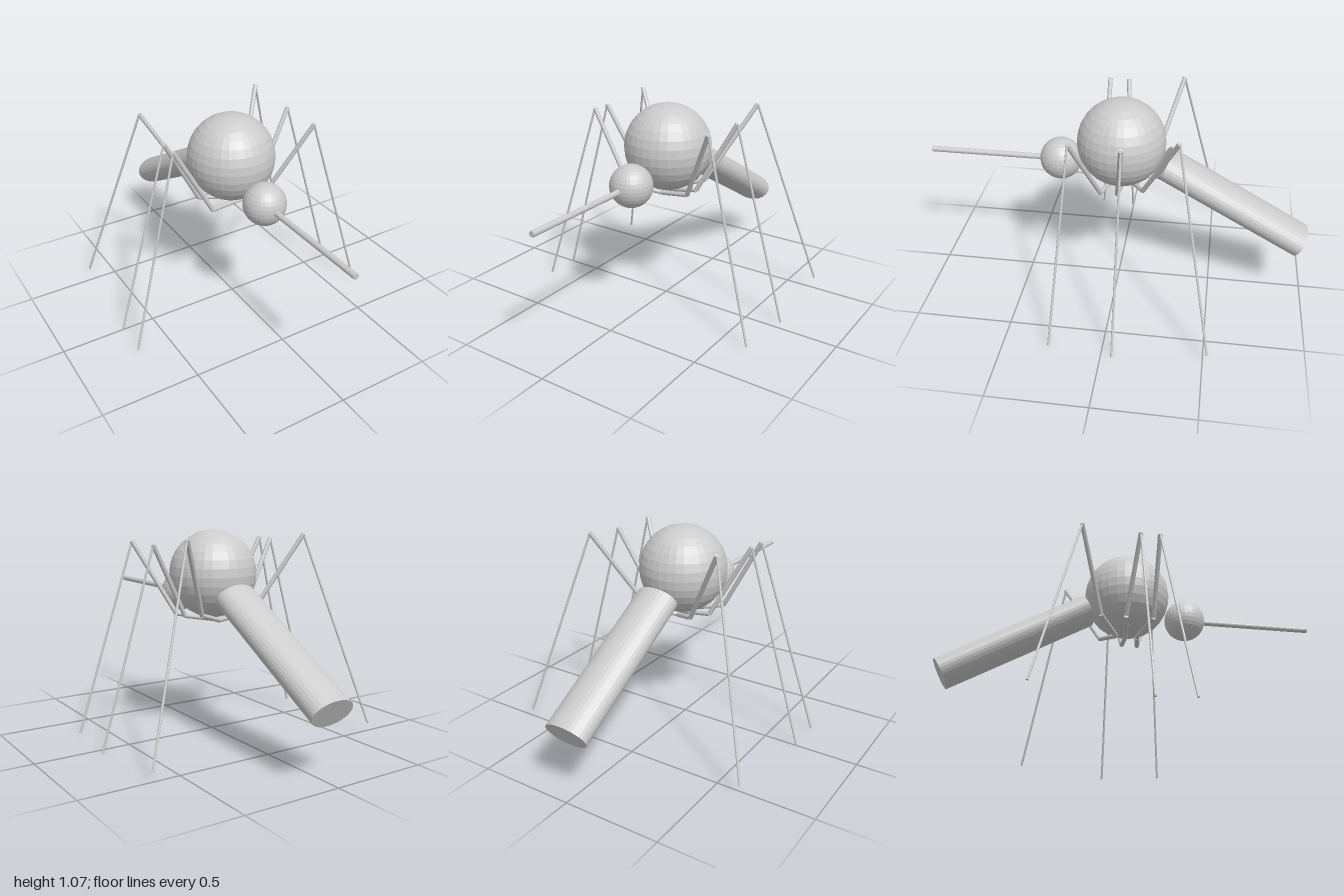
import * as THREE from 'three';

const material = new THREE.MeshStandardMaterial({ color: 0xcccccc, flatShading: true });

function ball(name, r, x, y, z) {
  const m = new THREE.Mesh(new THREE.SphereGeometry(r, 32, 16), material);
  m.name = name;
  m.position.set(x, y, z);
  return m;
}

// Straight rod between two points; sx stretches the section sideways
function rod(name, a, b, r, sides, sx = 1) {
  const from = new THREE.Vector3(...a), to = new THREE.Vector3(...b);
  const dir = to.clone().sub(from);
  const m = new THREE.Mesh(new THREE.CylinderGeometry(r, r, dir.length(), sides), material);
  m.name = name;
  m.position.copy(from).add(to).multiplyScalar(0.5);
  m.quaternion.setFromUnitVectors(new THREE.Vector3(0, 1, 0), dir.normalize());
  m.scale.x = sx;
  return m;
}

export function createModel() {
  const model = new THREE.Group();
  model.name = 'mosquito';

  // Body
  model.add(ball('thorax', 0.227, 0.002, 0.841, -0.013));
  model.add(ball('head', 0.109, 0, 0.72, 0.304));
  model.add(rod('proboscis', [0, 0.718, 0.3], [0, 0.718, 1], 0.015, 16));
  model.add(rod('abdomen', [0.012, 0.743, -0.233], [0.012, 0.328, -0.96], 0.078, 32, 1.45));

  // Legs: root under the thorax, hip, knee, foot
  const legs = {
    leftFrontLeg: [[0, 0.602, 0.04], [0.175, 0.635, 0.07], [0.365, 1.01, 0.19], [0.65, 0.015, 0.267]],
    leftMiddleLeg: [[0, 0.602, -0.02], [0.175, 0.635, -0.015], [0.378, 1.007, -0.06], [0.673, 0.003, -0.055]],
    leftBackLeg: [[0, 0.602, -0.07], [0.15, 0.65, -0.14], [0.348, 1.047, -0.325], [0.65, 0.056, -0.52]],
    rightFrontLeg: [[0, 0.602, 0.04], [-0.175, 0.635, 0.1], [-0.382, 1.01, 0.1], [-0.674, 0.01, 0.19]],
    rightMiddleLeg: [[0, 0.602, -0.02], [-0.175, 0.635, -0.043], [-0.38, 1.01, 0], [-0.675, 0.003, 0.004]],
    rightBackLeg: [[0, 0.602, -0.07], [-0.14, 0.65, -0.17], [-0.362, 1.047, -0.3], [-0.637, 0.058, -0.532]],
  };
  for (const [name, [root, hip, knee, foot]] of Object.entries(legs)) {
    const leg = new THREE.Group();
    leg.name = name;
    leg.add(rod('coxa', root, hip, 0.012, 12));
    leg.add(rod('femur', hip, knee, 0.012, 12));
    leg.add(rod('tibia', knee, foot, 0.006, 10));
    model.add(leg);
  }
  return model;
}
